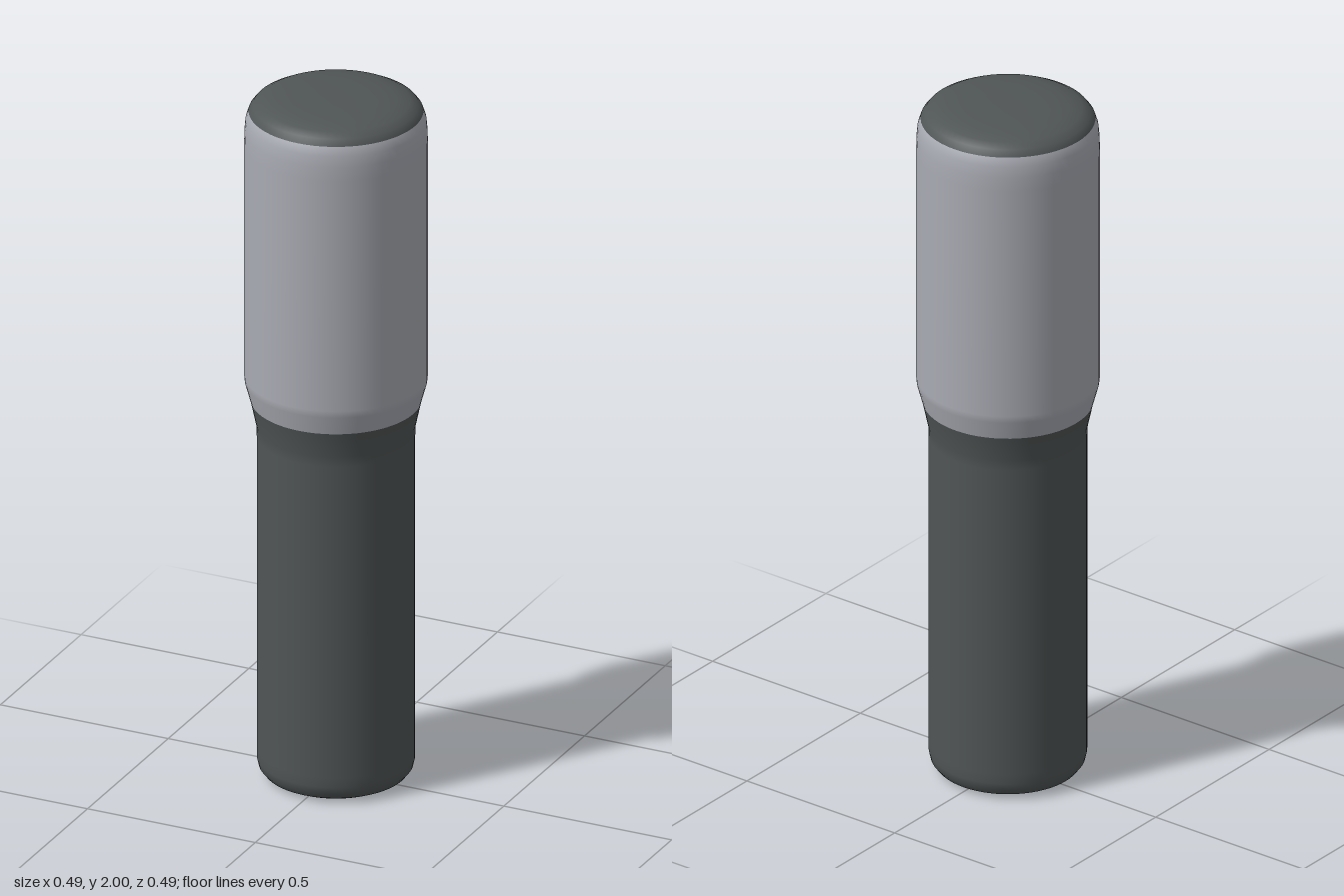
import * as THREE from 'three';

const SEGMENTS = 64;

// Profile from bottom to top as [radius, height]
const profile = [
  [0, 0], [0.15, 0], [0.175, 0.003], [0.195, 0.013], [0.208, 0.03], [0.213, 0.052], [0.213, 0.08],
  [0.213, 1.0], [0.214, 1.03], [0.23, 1.105], [0.245, 1.16], [0.247, 1.18],
  [0.247, 1.86], [0.246, 1.9], [0.243, 1.932], [0.235, 1.957],
  [0.222, 1.974], [0.2, 1.986], [0.165, 1.994], [0.12, 1.998], [0.06, 2], [0, 2],
].map(([r, y]) => new THREE.Vector2(r, y));

const SLEEVE_START = 9;
const SLEEVE_END = 15;

export function createModel() {
  const dark = new THREE.MeshStandardMaterial({ color: 0x505555 });
  dark.name = 'charcoal';
  const light = new THREE.MeshStandardMaterial({ color: 0xa9abb3 });
  light.name = 'lightGrey';

  const group = new THREE.Group();
  group.name = 'stick';
  const full = new THREE.LatheGeometry(profile, SEGMENTS);
  const rings = profile.length - 1;

  // Keeps only the bands between two profile points, so normals stay smooth across colours
  function addBand(name, from, to, material) {
    const source = full.index.array;
    const index = [];
    for (let s = 0; s < SEGMENTS; s++) {
      for (let k = (s * rings + from) * 6; k < (s * rings + to) * 6; k++) index.push(source[k]);
    }
    const geometry = full.clone();
    geometry.setIndex(index);
    const mesh = new THREE.Mesh(geometry, material);
    mesh.name = name;
    group.add(mesh);
  }

  addBand('handle', 0, SLEEVE_START, dark);
  addBand('sleeve', SLEEVE_START, SLEEVE_END, light);
  addBand('topCap', SLEEVE_END, rings, dark);
  return group;
}
